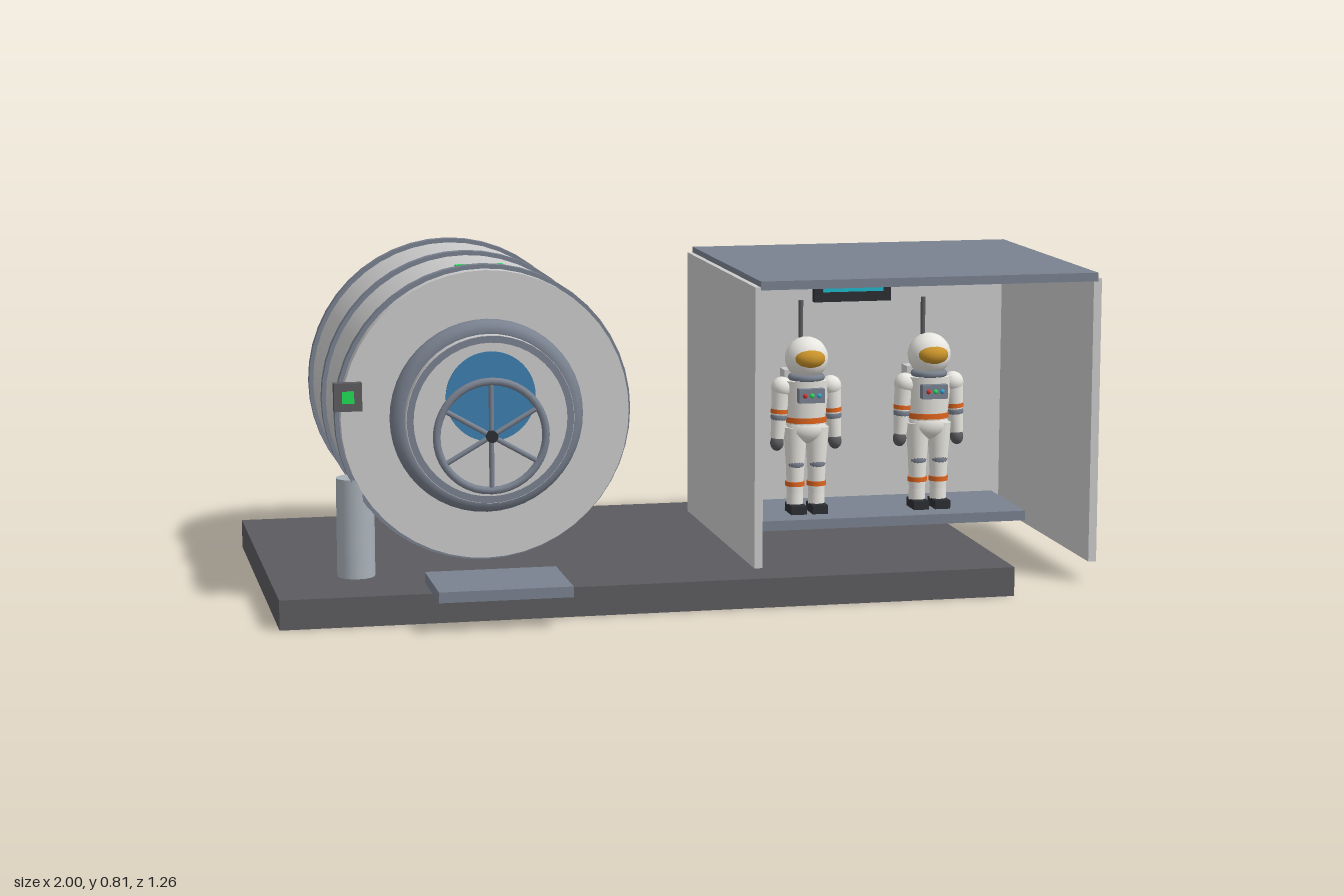
import * as THREE from 'three';

const mats = {};
function mat(color) {
  return mats[color] ??= new THREE.MeshStandardMaterial({ color });
}
const GREY = 0xcccccc, SLATE = 0x7a8290, DARK = 0x5c5c60, BLACK = 0x2b2e33,
  WHITE = 0xe8e6e0, ORANGE = 0xe0651f, GOLD = 0xc8922a, GREEN = 0x22dd55;

function add(parent, name, geo, color, x = 0, y = 0, z = 0) {
  const m = new THREE.Mesh(geo, mat(color));
  m.name = name;
  m.position.set(x, y, z);
  parent.add(m);
  return m;
}
// Box given by its min and max on each axis
function box(parent, name, color, x0, x1, y0, y1, z0, z1) {
  return add(parent, name, new THREE.BoxGeometry(x1 - x0, y1 - y0, z1 - z0), color,
    (x0 + x1) / 2, (y0 + y1) / 2, (z0 + z1) / 2);
}
// Cylinder lying along z
function discZ(parent, name, color, r, z0, z1, x = 0, y = 0, seg = 48) {
  return add(parent, name, new THREE.CylinderGeometry(r, r, z1 - z0, seg).rotateX(Math.PI / 2),
    color, x, y, (z0 + z1) / 2);
}
function ball(parent, name, color, r, x, y, z, sx = 1, sy = 1, sz = 1) {
  const m = add(parent, name, new THREE.SphereGeometry(r, 20, 14), color, x, y, z);
  m.scale.set(sx, sy, sz);
  return m;
}
function post(parent, name, color, rTop, rBottom, y0, y1, x = 0, z = 0) {
  return add(parent, name, new THREE.CylinderGeometry(rTop, rBottom, y1 - y0, 16), color, x, (y0 + y1) / 2, z);
}

// Pressure chamber, its axis along z
function createChamber() {
  const g = new THREE.Group();
  g.name = 'chamber';
  g.position.set(-0.495, 0.455, 0);
  discZ(g, 'hull', GREY, 0.34, -0.29, 0.355);
  add(g, 'dome', new THREE.SphereGeometry(0.34, 48, 12, 0, Math.PI * 2, 0, Math.PI / 2)
    .rotateX(-Math.PI / 2), GREY, 0, 0, -0.29);
  for (const z of [0.31, 0.035, -0.245]) discZ(g, 'hullRing', SLATE, 0.35, z - 0.0125, z + 0.0125);
  for (const x of [-0.045, 0.04]) box(g, 'topLight', GREEN, x - 0.014, x + 0.014, 0.325, 0.346, 0.278, 0.297);

  // Hatch with frame, window and hand wheel
  const hatch = new THREE.Group();
  hatch.name = 'hatch';
  g.add(hatch);
  add(hatch, 'hatchFrame', new THREE.TorusGeometry(0.2, 0.028, 12, 48), SLATE, 0, 0, 0.367);
  discZ(hatch, 'hatchSeal', BLACK, 0.19, 0.35, 0.397);
  discZ(hatch, 'hatchDoor', GREY, 0.197, 0.4, 0.425);
  add(hatch, 'hatchTrim', new THREE.RingGeometry(0.18, 0.196, 48), SLATE, 0, 0, 0.426);
  discZ(hatch, 'hatchWindow', 0x3f7fae, 0.105, 0.42, 0.43, 0, 0.055);

  const wheel = new THREE.Group();
  wheel.name = 'handWheel';
  wheel.position.set(0, -0.037, 0.434);
  hatch.add(wheel);
  add(wheel, 'wheelRim', new THREE.TorusGeometry(0.128, 0.009, 10, 40), SLATE);
  for (let i = 0; i < 6; i++) {
    const a = i * Math.PI / 3;
    const spoke = add(wheel, 'spoke', new THREE.CylinderGeometry(0.006, 0.006, 0.128, 8), SLATE,
      -Math.sin(a) * 0.064, Math.cos(a) * 0.064, 0);
    spoke.rotation.z = a;
  }
  discZ(wheel, 'wheelHub', BLACK, 0.014, -0.015, 0.014, 0, 0, 16);
  return g;
}

// Space suit, feet at y = 0, facing +z
function createSuit() {
  const g = new THREE.Group();
  g.name = 'suit';
  for (const s of [-1, 1]) {
    const x = s * 0.028;
    box(g, 'boot', BLACK, x - 0.02, x + 0.02, 0, 0.022, -0.025, 0.045);
    post(g, 'bootCuff', WHITE, 0.021, 0.021, 0.02, 0.05, x);
    post(g, 'lowerLeg', WHITE, 0.024, 0.02, 0.03, 0.125, x);
    post(g, 'legBand', ORANGE, 0.025, 0.025, 0.068, 0.08, x);
    ball(g, 'knee', SLATE, 0.023, x, 0.125, 0.002);
    post(g, 'upperLeg', WHITE, 0.031, 0.024, 0.125, 0.22, x);

    ball(g, 'shoulder', WHITE, 0.027, s * 0.064, 0.322, 0);
    const arm = new THREE.Group();
    arm.name = 'arm';
    arm.position.set(s * 0.066, 0.322, 0);
    arm.rotation.z = s * 0.07;
    g.add(arm);
    post(arm, 'upperArm', WHITE, 0.024, 0.02, -0.075, 0);
    ball(arm, 'elbow', SLATE, 0.021, 0, -0.075, 0);
    post(arm, 'armBand', ORANGE, 0.022, 0.022, -0.066, -0.055);
    post(arm, 'forearm', WHITE, 0.02, 0.017, -0.13, -0.075);
    ball(arm, 'glove', DARK, 0.019, 0, -0.142, 0, 0.9, 1.1, 1);
  }
  ball(g, 'hips', WHITE, 0.052, 0, 0.215, 0, 1, 0.75, 0.75);
  const torso = post(g, 'torso', WHITE, 0.06, 0.048, 0.22, 0.34);
  torso.scale.z = 0.75;
  const belt = post(g, 'belt', ORANGE, 0.053, 0.053, 0.232, 0.246);
  belt.scale.z = 0.78;
  add(g, 'neckRing', new THREE.TorusGeometry(0.038, 0.009, 8, 24).rotateX(Math.PI / 2), SLATE, 0, 0.347, 0);
  ball(g, 'helmet', WHITE, 0.055, 0, 0.395, 0);
  ball(g, 'visor', GOLD, 0.04, 0, 0.398, 0.031, 1, 0.68, 0.8);
  box(g, 'chestPack', SLATE, -0.033, 0.033, 0.288, 0.324, 0.035, 0.06);
  [0xd03030, GREEN, 0x30a8d0].forEach((c, i) =>
    ball(g, 'chestLight', c, 0.006, (i - 1) * 0.018, 0.307, 0.06));
  box(g, 'backpack', GREY, -0.048, 0.048, 0.21, 0.36, -0.085, -0.035);
  post(g, 'hangerRod', DARK, 0.006, 0.006, 0.36, 0.535, 0, -0.06);
  return g;
}

// Open-fronted suit bay
function createBay() {
  const g = new THREE.Group();
  g.name = 'suitBay';
  for (const x of [0.14, 0.975]) box(g, 'sideWall', GREY, x, x + 0.02, 0.05, 0.743, -0.335, 0.4);
  box(g, 'backWall', GREY, 0.16, 0.975, 0.05, 0.743, -0.335, -0.315);
  box(g, 'roof', SLATE, 0.153, 0.985, 0.736, 0.757, -0.337, 0.402);
  box(g, 'bayFloor', SLATE, 0.175, 0.955, 0.07, 0.095, -0.315, -0.03);
  box(g, 'screenFrame', BLACK, 0.465, 0.67, 0.61, 0.728, -0.315, -0.295);
  box(g, 'screen', 0x1fb8cc, 0.488, 0.648, 0.636, 0.712, -0.296, -0.291);
  const rail = post(g, 'hangingRail', 0xd8d2bc, 0.006, 0.006, -0.345, 0.345);
  rail.rotation.z = Math.PI / 2;
  rail.position.set(0.57, 0.697, -0.17);
  for (const x of [0.405, 0.728]) {
    const suit = createSuit();
    suit.position.set(x, 0.095, -0.14);
    g.add(suit);
  }
  return g;
}

export function createModel() {
  const model = new THREE.Group();
  model.name = 'airlockStation';
  box(model, 'basePlate', DARK, -1, 0.75, 0, 0.07, -0.45, 0.515);
  box(model, 'step', SLATE, -0.65, -0.34, 0.073, 0.098, 0.405, 0.633);
  post(model, 'sidePost', 0xa9b2ba, 0.045, 0.045, 0.07, 0.305, -0.795, 0.28);
  box(model, 'controlPanel', DARK, -0.852, -0.787, 0.477, 0.543, 0.353, 0.378);
  box(model, 'panelLight', GREEN, -0.834, -0.806, 0.496, 0.524, 0.375, 0.383);
  model.add(createChamber(), createBay());
  return model;
}
